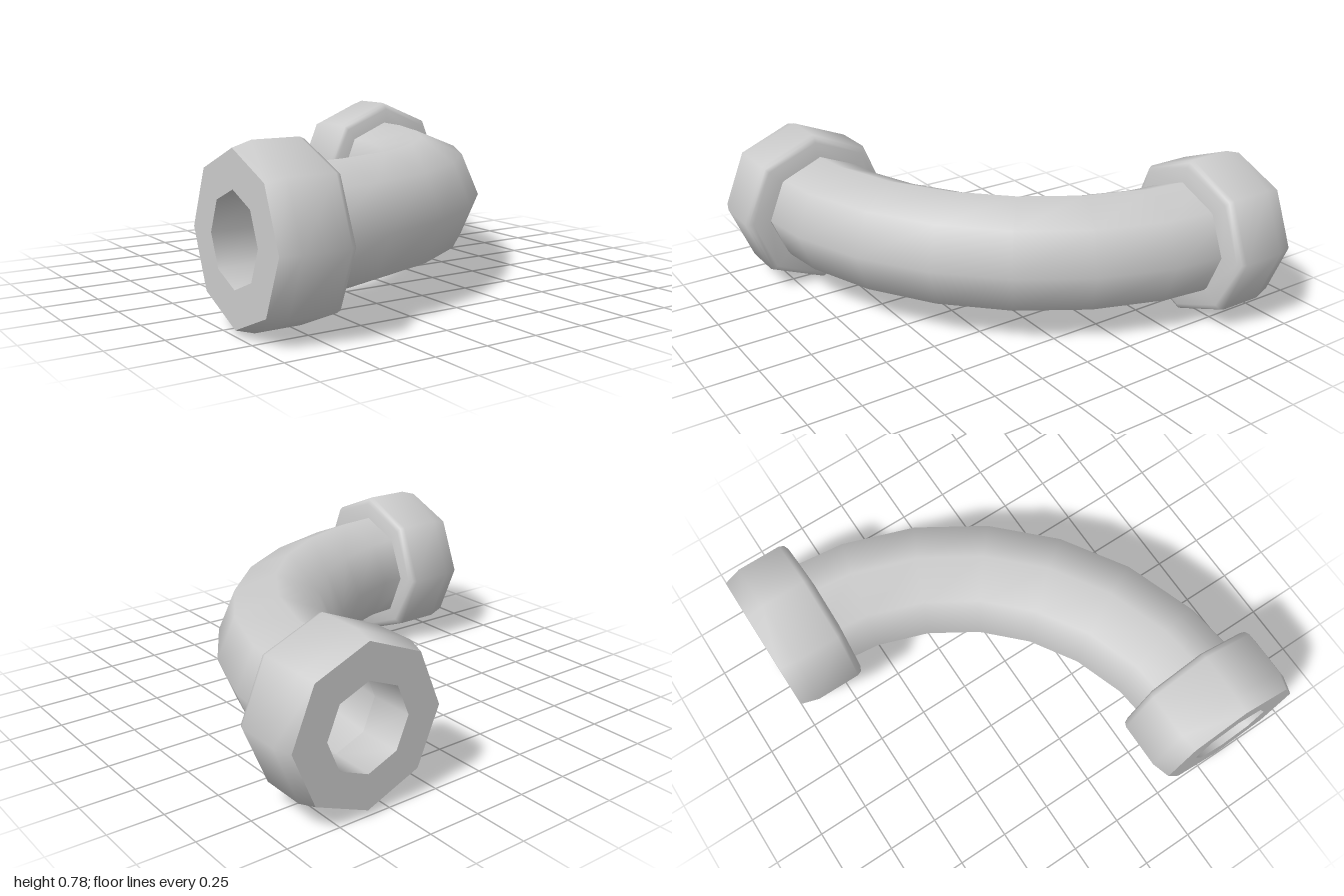
import * as THREE from 'three';
import { toCreasedNormals } from 'three/addons/utils/BufferGeometryUtils.js';

const SIDES = 8, BEND_STEPS = 7;
const AXIS_Y = 0.39, AXIS_OFFSET = 0.61;
const BEND_CENTRE = -0.79, BEND_RADIUS = 1.398;
const PIPE_RADIUS = 0.28, BORE_RADIUS = 0.2;

export function createModel() {
  const group = new THREE.Group();
  group.name = 'pipeElbow';
  const material = new THREE.MeshStandardMaterial({ color: 0xcccccc });
  const boreMaterial = new THREE.MeshStandardMaterial({ color: 0xcccccc, side: THREE.DoubleSide });

  const add = (name, geometry, mat, x, y, z) => {
    const mesh = new THREE.Mesh(geometry, mat);
    mesh.name = name;
    mesh.position.set(x, y, z);
    group.add(mesh);
  };

  // Quarter bend lying flat, from the +x side round to the +z side
  const bend = (radius) =>
    new THREE.TorusGeometry(BEND_RADIUS, radius, SIDES, BEND_STEPS, Math.PI / 2).rotateX(Math.PI / 2);
  add('bentPipe', bend(PIPE_RADIUS), material, BEND_CENTRE, AXIS_Y, BEND_CENTRE);
  add('pipeBore', bend(BORE_RADIUS), boreMaterial, BEND_CENTRE, AXIS_Y, BEND_CENTRE);

  // Octagonal collar: outer end at y = 0, running inward along +y
  const profile = [
    [BORE_RADIUS, 0], [0.362, 0], [0.388, 0.085], [0.388, 0.3], [0.378, 0.322],
    [0.355, 0.333], [0.27, 0.342], [BORE_RADIUS, 0.21], [BORE_RADIUS, 0],
  ].map(([r, y]) => new THREE.Vector2(r, y));
  const collar = () => toCreasedNormals(new THREE.LatheGeometry(profile, SIDES), 0.9);

  add('backCollar', collar().rotateX(Math.PI / 2), material, AXIS_OFFSET, AXIS_Y, -1);
  add('rightCollar', collar().rotateZ(-Math.PI / 2), material, -1, AXIS_Y, AXIS_OFFSET);

  return group;
}
